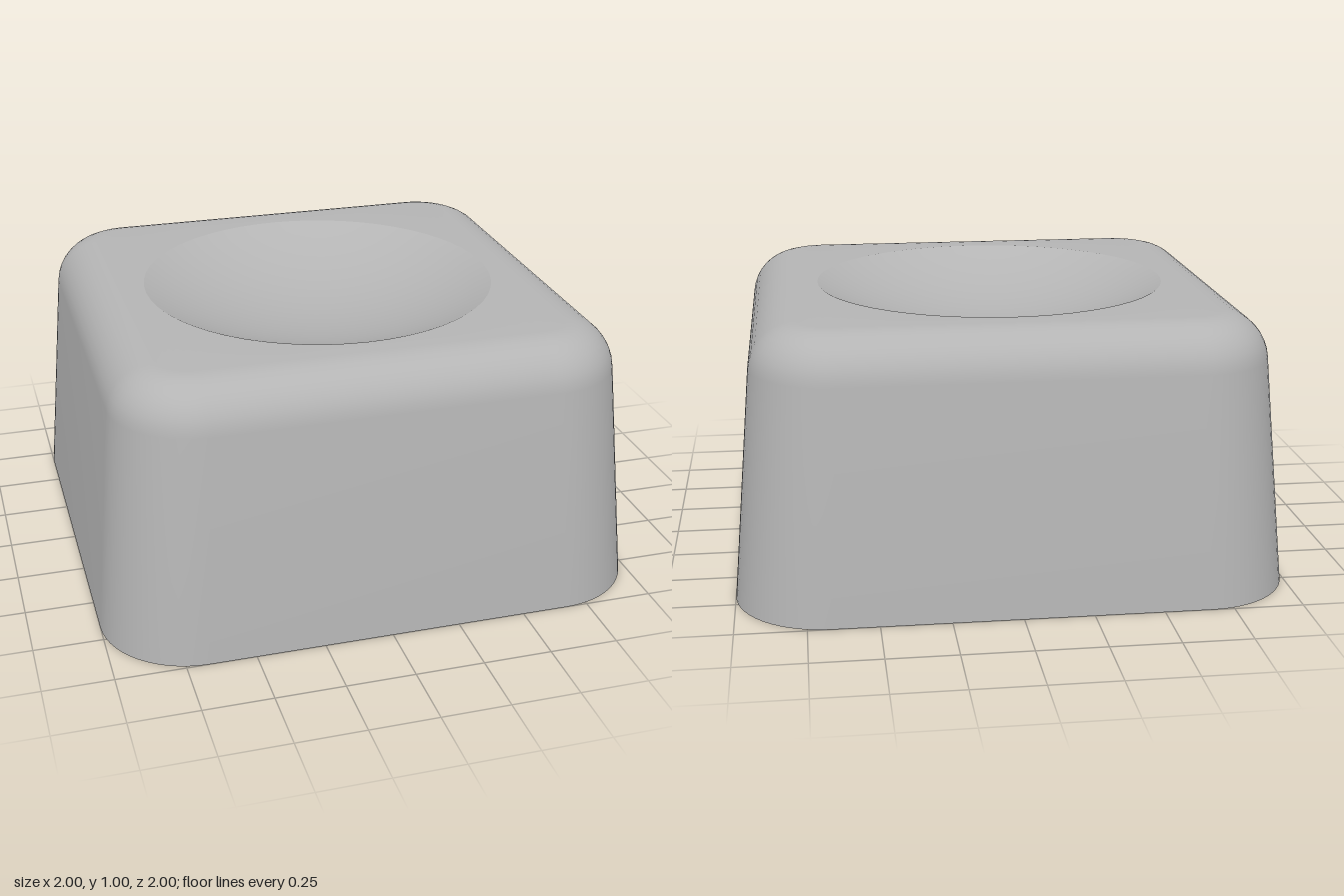
import * as THREE from 'three';
import { toCreasedNormals } from 'three/addons/utils/BufferGeometryUtils.js';

const CORNER_STEPS = 14;

// Rounded-square loop: half width h, corner radius r, at height y
function ring({ h, r, y }) {
  const points = [];
  for (let corner = 0; corner < 4; corner++) {
    const mid = (corner + 0.5) * Math.PI / 2;
    const cx = Math.sign(Math.cos(mid)) * (h - r);
    const cz = Math.sign(Math.sin(mid)) * (h - r);
    for (let i = 0; i <= CORNER_STEPS; i++) {
      const a = (corner + i / CORNER_STEPS) * Math.PI / 2;
      points.push(new THREE.Vector3(cx + r * Math.cos(a), y, cz + r * Math.sin(a)));
    }
  }
  return points;
}

// Skin a series of loops
function skin(sections) {
  const loops = sections.map(ring);
  const n = loops[0].length;
  const triangles = [];
  for (let i = 0; i < loops.length - 1; i++) {
    for (let j = 0; j < n; j++) {
      const k = (j + 1) % n;
      const a = loops[i][j], b = loops[i][k], c = loops[i + 1][j], d = loops[i + 1][k];
      for (const t of [[a, c, b], [b, c, d]]) {
        const triangle = new THREE.Triangle(...t);
        if (triangle.getArea() > 1e-8) triangles.push(...t);
      }
    }
  }
  return toCreasedNormals(new THREE.BufferGeometry().setFromPoints(triangles), 0.33);
}

function capSections() {
  // Hollow underside, then the bottom rim
  const sections = [
    { h: 0, r: 0, y: 0.8 },
    { h: 0.78, r: 0.17, y: 0.8 },
    { h: 0.85, r: 0.18, y: 0 },
    { h: 1, r: 0.33, y: 0 },
  ];
  // Tapered skirt running into the rounded top edge
  const fillet = 0.18, draft = 0.088, steps = 9;
  for (let i = 0; i <= steps; i++) {
    const a = draft + (Math.PI / 2 - draft) * i / steps;
    const out = fillet * Math.cos(a);
    sections.push({ h: 0.747 + out, r: 0.12 + out, y: 1 - fillet + fillet * Math.sin(a) });
  }
  // Spherical finger dish
  const radius = 0.667, depth = 0.15, rings = 12;
  const sphere = (radius * radius + depth * depth) / (2 * depth);
  for (let i = 0; i <= rings; i++) {
    const r = radius * (1 - i / rings);
    sections.push({ h: r, r, y: 1 - depth + sphere - Math.sqrt(sphere * sphere - r * r) });
  }
  return sections;
}

// Round post with a cross-shaped socket
function stemGeometry() {
  const bottom = 0.055, top = 0.8, l = 0.25, w = 0.073;
  const shape = new THREE.Shape().absarc(0, 0, 0.325, 0, Math.PI * 2, false);
  const cross = [];
  for (let q = 0; q < 4; q++) {
    const turn = q * Math.PI / 2;
    for (const [x, y] of [[l, -w], [l, w], [w, w]]) {
      cross.push(new THREE.Vector2(x, y).rotateAround(new THREE.Vector2(), turn));
    }
  }
  shape.holes.push(new THREE.Path(cross.reverse()));
  const geometry = new THREE.ExtrudeGeometry(shape, {
    depth: top - bottom, bevelEnabled: false, curveSegments: 40,
  });
  geometry.rotateX(-Math.PI / 2).translate(0, bottom, 0);
  return toCreasedNormals(geometry, 0.5);
}

export function createModel() {
  const plastic = new THREE.MeshStandardMaterial({ color: 0xb4b4b4 });
  plastic.name = 'grey plastic';

  const model = new THREE.Group();
  model.name = 'keycap';

  const cap = new THREE.Mesh(skin(capSections()), plastic);
  cap.name = 'cap';
  const stem = new THREE.Mesh(stemGeometry(), plastic);
  stem.name = 'stem';

  model.add(cap, stem);
  return model;
}
